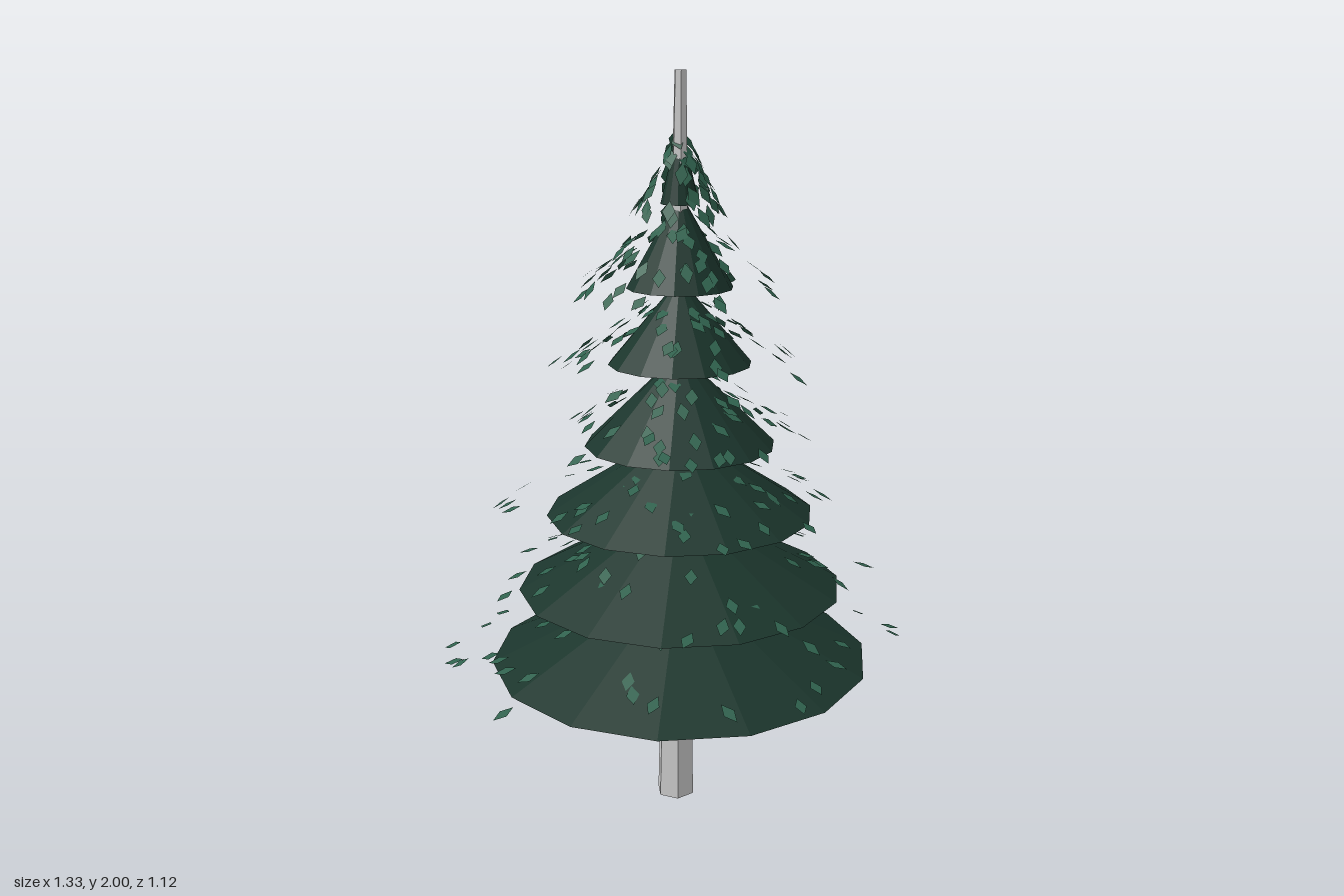
import * as THREE from 'three';
import { mergeGeometries } from 'three/addons/utils/BufferGeometryUtils.js';

const AXIS_X = -0.012, AXIS_Z = 0.05;

// Branch tiers: [rim height, rim radius, apex height]
const TIERS = [
  [0.425, 0.52, 0.675],
  [0.635, 0.44, 0.875],
  [0.845, 0.36, 1.08],
  [1.035, 0.255, 1.285],
  [1.255, 0.19, 1.48],
  [1.455, 0.14, 1.7],
  [1.67, 0.05, 1.88],
];

function seeded(seed) {
  return () => {
    seed = (seed * 1664525 + 1013904223) % 4294967296;
    return seed / 4294967296;
  };
}

// Flat diamond leaf, long axis along z, facing up
function leafGeometry(length, width) {
  const shape = new THREE.Shape();
  shape.moveTo(0, -length / 2);
  shape.lineTo(width / 2, 0);
  shape.lineTo(0, length / 2);
  shape.lineTo(-width / 2, 0);
  shape.closePath();
  return new THREE.ShapeGeometry(shape).rotateX(-Math.PI / 2);
}

export function createModel() {
  const tree = new THREE.Group();
  tree.name = 'pineTree';
  const rand = seeded(11);
  const spread = (amount) => (rand() - 0.5) * 2 * amount;

  const bark = new THREE.MeshStandardMaterial({ color: 0xcccccc, flatShading: true });
  const needles = new THREE.MeshStandardMaterial({ color: 0x1b352c, flatShading: true, side: THREE.DoubleSide });
  const leafGreen = new THREE.MeshStandardMaterial({ color: 0x2f614d, flatShading: true, side: THREE.DoubleSide });

  // Tapered trunk, leaning very slightly
  const trunkGeometry = new THREE.CylinderGeometry(0.016, 0.054, 2, 6);
  trunkGeometry.translate(0, 1, 0);
  trunkGeometry.applyMatrix4(new THREE.Matrix4().makeShear(0, 0, 0.007, 0, 0, 0));
  const trunk = new THREE.Mesh(trunkGeometry, bark);
  trunk.name = 'trunk';
  trunk.position.set(-0.025, 0, 0.055);
  tree.add(trunk);

  TIERS.forEach(([base, radius, apex], i) => {
    const height = apex - base;

    // Open cone of branches
    const cone = new THREE.Mesh(new THREE.ConeGeometry(radius, height, 14, 1, true), needles);
    cone.name = `branchTier${i + 1}`;
    cone.rotation.y = Math.PI / 2;
    cone.position.set(AXIS_X, base + height / 2, AXIS_Z);
    tree.add(cone);

    // Loose leaves lying along the slope and past the rim
    const reach = radius + Math.min(0.14, radius + 0.02);
    const slope = Math.atan2(height, reach);
    const leaves = [];
    for (let n = 0; n < 62; n++) {
      const angle = rand() * Math.PI * 2;
      const t = 0.2 + 0.8 * rand();
      const leaf = leafGeometry(0.058 + spread(0.006), 0.034);
      leaf.rotateY(spread(0.5));
      leaf.rotateX(slope + spread(0.15));
      leaf.translate(0, base - 0.025 + height * (1 - t) + spread(0.02), t * reach);
      leaf.rotateY(angle);
      leaf.translate(AXIS_X, 0, AXIS_Z - 0.04 * t);
      leaves.push(leaf);
    }
    const foliage = new THREE.Mesh(mergeGeometries(leaves), leafGreen);
    foliage.name = `leaves${i + 1}`;
    tree.add(foliage);
  });

  return tree;
}
